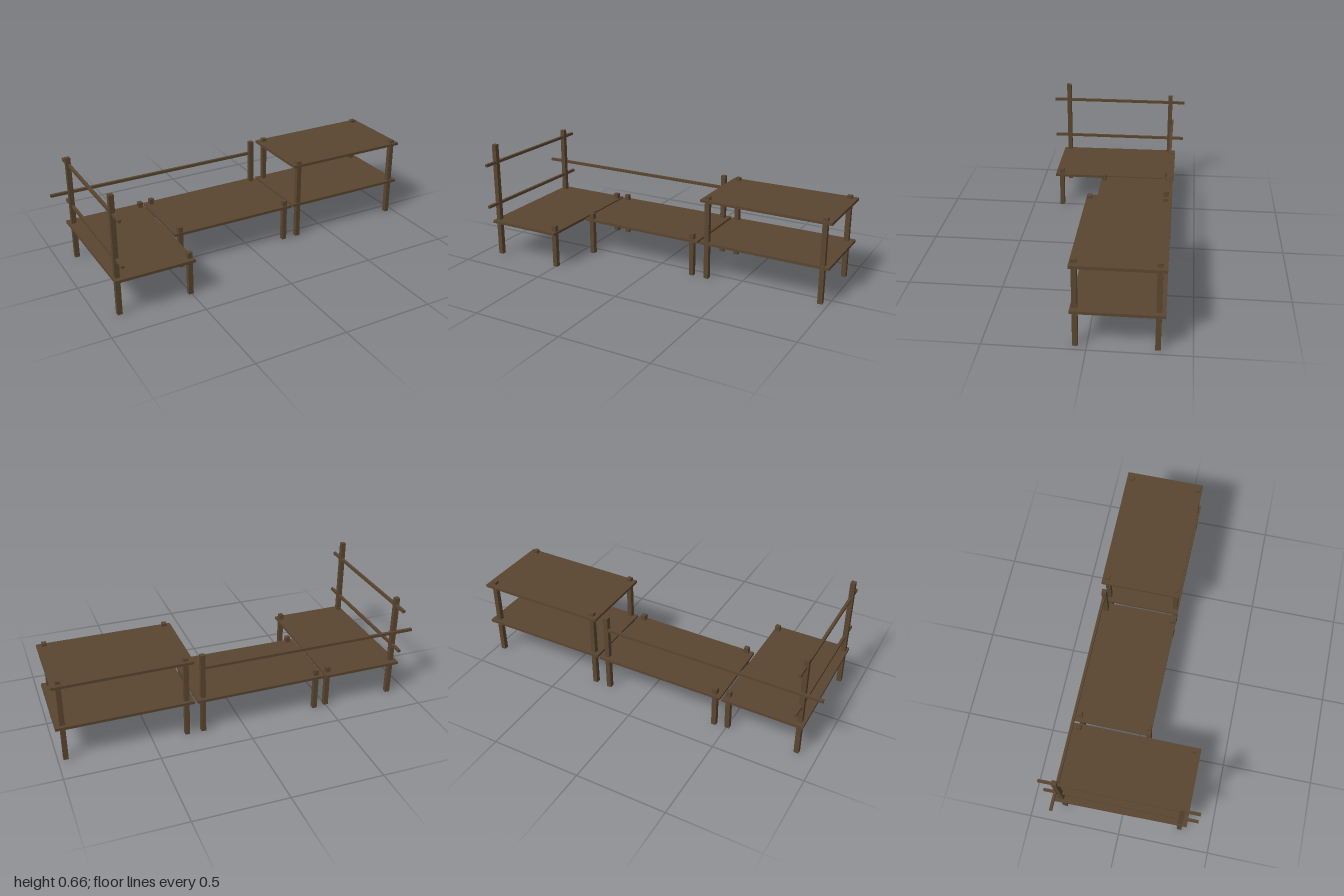
import * as THREE from 'three';

export function createModel() {
  const model = new THREE.Group();
  const wood = new THREE.MeshStandardMaterial({ color: 0x5a4630 });
  wood.name = 'dark brown wood';

  const add = (parent, name, geometry, x, y, z) => {
    const mesh = new THREE.Mesh(geometry, wood);
    mesh.name = name;
    mesh.position.set(x, y, z);
    parent.add(mesh);
  };
  const group = (name) => {
    const g = new THREE.Group();
    g.name = name;
    model.add(g);
    return g;
  };

  // Square post standing on the ground
  const post = (parent, name, x, z, height) =>
    add(parent, name, new THREE.BoxGeometry(0.026, height, 0.026), x, height / 2, z);

  // Board with slightly uneven corners, given as [x, z]
  const board = (parent, name, corners, y) => {
    const shape = new THREE.Shape(corners.map(([x, z]) => new THREE.Vector2(x, -z)));
    const geometry = new THREE.ExtrudeGeometry(shape, { depth: 0.015, bevelEnabled: false });
    geometry.rotateX(-Math.PI / 2);
    add(parent, name, geometry, 0, y, 0);
  };

  // End platform with tall posts carrying two cross rails
  const end = group('endPlatform');
  board(end, 'endDeck', [[-0.922, -0.367], [-0.48, -0.367], [-0.483, 0.36], [-0.914, 0.36]], 0.196);
  post(end, 'tallFrontPost', -0.893, 0.323, 0.657);
  post(end, 'tallBackPost', -0.893, -0.325, 0.597);
  for (const z of [0.323, -0.325]) post(end, 'shortPost', -0.503, z, 0.242);
  for (const y of [0.555, 0.312]) {
    add(end, 'endRail', new THREE.BoxGeometry(0.015, 0.015, 0.83), -0.89, y, 0);
  }

  // Middle platform with a long back rail
  const middle = group('middlePlatform');
  board(middle, 'middleDeck', [[-0.468, -0.363], [0.258, -0.368], [0.26, 0.075], [-0.468, 0.07]], 0.196);
  for (const z of [0.055, -0.335]) post(middle, 'shortPost', -0.43, z, 0.242);
  post(middle, 'shortPost', 0.22, 0.055, 0.242);
  post(middle, 'tallBackPost', 0.22, -0.335, 0.465);
  add(middle, 'backRail', new THREE.BoxGeometry(1.235, 0.015, 0.015), -0.3825, 0.39, -0.34);

  // Two-tier shelf
  const shelf = group('twoTierShelf');
  for (const [name, y] of [['lowerShelf', 0.196], ['upperShelf', 0.436]]) {
    board(shelf, name, [[0.272, -0.364], [0.998, -0.368], [0.998, 0.077], [0.272, 0.073]], y);
  }
  for (const x of [0.31, 0.958]) {
    for (const z of [0.055, -0.335]) post(shelf, 'shelfPost', x, z, 0.468);
  }

  return model;
}
